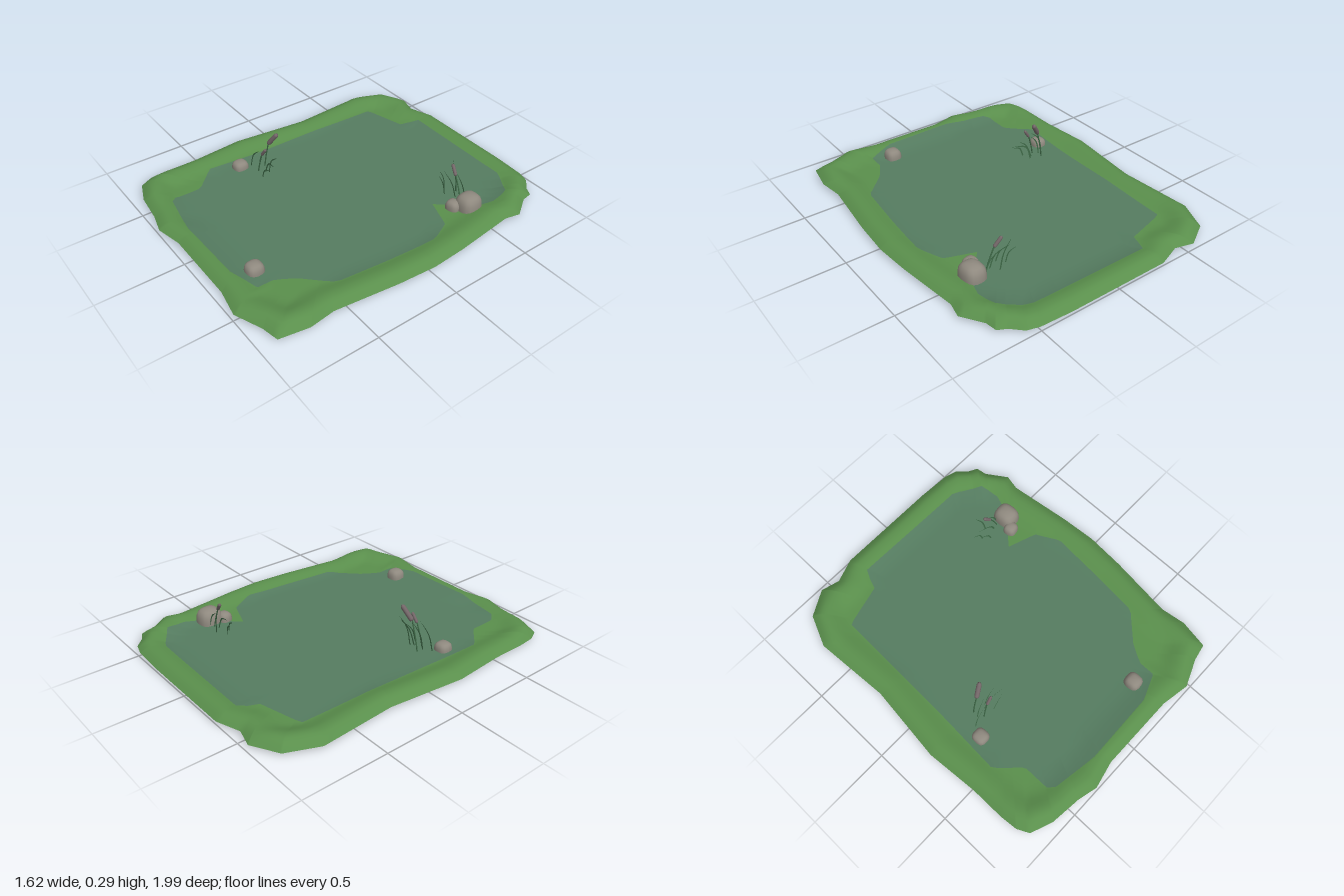
import * as THREE from 'three';

const mat = (name, color, side = THREE.DoubleSide) => {
  const m = new THREE.MeshStandardMaterial({ color, side });
  m.name = name;
  return m;
};
const grass = mat('grass green', 0x5a8f4c);
const water = mat('pond water', 0x557c60);
const stone = mat('grey stone', 0x8f897f, THREE.FrontSide);
const leaf = mat('reed green', 0x3f6a48);
const brown = mat('cattail brown', 0x75686a, THREE.FrontSide);

// Outer bank edge and waterline as [x, z] corners
const BANK = [
  [-0.56, -0.98], [-0.45, -0.95], [-0.31, -1], [0.31, -1], [0.5, -0.99], [0.57, -0.97], [0.63, -0.91],
  [0.68, -0.885], [0.69, -0.82], [0.77, -0.7], [0.75, -0.61], [0.795, -0.24], [0.81, -0.03], [0.795, 0.2],
  [0.75, 0.58], [0.77, 0.73], [0.74, 0.9], [0.64, 0.92], [0.48, 0.985], [0.31, 0.955], [-0.15, 0.955],
  [-0.31, 0.99], [-0.43, 0.96], [-0.61, 0.94], [-0.74, 0.89], [-0.775, 0.82], [-0.785, 0.715],
  [-0.785, 0.51], [-0.81, 0.2], [-0.76, -0.26], [-0.79, -0.71], [-0.71, -0.895],
];
const WATERLINE = [
  [-0.59, -0.69], [-0.32, -0.76], [-0.31, -0.87], [0.45, -0.86], [0.6, -0.76], [0.62, -0.6], [0.5, -0.45],
  [0.36, -0.38], [0.59, -0.3], [0.66, -0.16], [0.64, 0.13], [0.61, 0.45], [0.46, 0.6], [0.4, 0.7],
  [0.4, 0.8], [0.24, 0.86], [-0.2, 0.87], [-0.5, 0.82], [-0.5, 0.63], [-0.63, 0.5], [-0.61, 0.13],
];

// Distance from the centre to an outline along an angle
function reach(poly, a) {
  const c = Math.cos(a), s = Math.sin(a);
  let best = 0;
  poly.forEach(([x1, z1], i) => {
    const [x2, z2] = poly[(i + 1) % poly.length];
    const dx = x2 - x1, dz = z2 - z1, det = c * dz - s * dx;
    if (Math.abs(det) < 1e-9) return;
    const r = (x1 * dz - z1 * dx) / det;
    const u = (x1 * s - z1 * c) / det;
    if (r > 0 && u > -1e-6 && u < 1 + 1e-6) best = Math.max(best, r);
  });
  return best;
}

// Shortest distance from a point to the bank edge
function edgeDistance(x, z) {
  let best = Infinity;
  BANK.forEach(([x1, z1], i) => {
    const [x2, z2] = BANK[(i + 1) % BANK.length];
    const dx = x2 - x1, dz = z2 - z1;
    const t = THREE.MathUtils.clamp(((x - x1) * dx + (z - z1) * dz) / (dx * dx + dz * dz), 0, 1);
    best = Math.min(best, Math.hypot(x - x1 - t * dx, z - z1 - t * dz));
  });
  return best;
}

// Bank profile: rises to a crest, then dips to the pond
function height(x, z) {
  const d = edgeDistance(x, z), step = THREE.MathUtils.smoothstep;
  const corner = 0.01 * step(Math.abs(x), 0.45, 0.65) * step(Math.abs(z), 0.6, 0.8);
  const crest = 0.046 + corner;
  if (d < 0.08) return 0.012 + (crest - 0.012) * Math.sin(Math.min(1, d / 0.07) * Math.PI / 2);
  return crest + (0.021 - crest) * step(d, 0.08, 0.2);
}

// One smooth sheet: grass rings outside the waterline, water rings inside
function makeGround() {
  const angles = BANK.map(([x, z]) => Math.atan2(z, x));
  for (let i = 0; i < 128; i++) angles.push(-Math.PI + (i + 0.5) * Math.PI / 64);
  angles.sort((a, b) => a - b);
  const n = angles.length, bankRings = 12, waterRings = 14;
  const pos = [], index = [];
  for (let k = 0; k <= bankRings + waterRings; k++) {
    for (const a of angles) {
      const shore = reach(WATERLINE, a), outer = reach(BANK, a);
      const r = k <= bankRings
        ? outer + (shore - outer) * k / bankRings
        : shore * (1 - (k - bankRings) / waterRings);
      const x = r * Math.cos(a), z = r * Math.sin(a);
      pos.push(x, height(x, z), z);
    }
  }
  for (let k = 0; k < bankRings + waterRings; k++) {
    for (let i = 0; i < n; i++) {
      const a = k * n + i, b = k * n + (i + 1) % n;
      index.push(a, a + n, b, b, a + n, b + n);
    }
  }
  const g = new THREE.BufferGeometry();
  g.setAttribute('position', new THREE.Float32BufferAttribute(pos, 3));
  g.setIndex(index);
  g.addGroup(0, bankRings * n * 6, 0);
  g.addGroup(bankRings * n * 6, waterRings * n * 6, 1);
  g.computeVertexNormals();
  const mesh = new THREE.Mesh(g, [grass, water]);
  mesh.name = 'grassBankAndWater';
  return mesh;
}

// Boxy rounded boulder with a flat underside
function makeRock(x, z, w, d, top, turn) {
  const g = new THREE.SphereGeometry(1, 20, 14);
  const p = g.attributes.position, v = new THREE.Vector3();
  for (let i = 0; i < p.count; i++) {
    v.fromBufferAttribute(p, i);
    const q = Math.pow(v.x ** 4 + v.z ** 4 + v.y ** 4, 0.25);
    const k = 0.65 / q + 0.35;
    p.setXYZ(i, v.x * k * w / 2, Math.max(v.y, -0.25) * k * (top - 0.02), v.z * k * d / 2);
  }
  g.computeVertexNormals();
  g.computeBoundingBox();
  const mesh = new THREE.Mesh(g, stone);
  mesh.position.set(x, top - g.boundingBox.max.y, z);
  mesh.rotation.y = turn;
  mesh.name = 'rock';
  return mesh;
}

// Arching, tapered grass blade through three points
function makeBlade(a, b, c, width) {
  const curve = new THREE.CatmullRomCurve3([a, b, c].map(p => new THREE.Vector3(...p)));
  const pos = [], index = [], steps = 8;
  for (let i = 0; i <= steps; i++) {
    const t = i / steps, p = curve.getPoint(t), d = curve.getTangent(t);
    const w = width / 2 * (1 - t ** 2) * (0.7 + 0.6 * t);
    pos.push(p.x + d.y * w, p.y - d.x * w, p.z, p.x - d.y * w, p.y + d.x * w, p.z);
    if (i < steps) index.push(2 * i, 2 * i + 2, 2 * i + 1, 2 * i + 1, 2 * i + 2, 2 * i + 3);
  }
  const g = new THREE.BufferGeometry();
  g.setAttribute('position', new THREE.Float32BufferAttribute(pos, 3));
  g.setIndex(index);
  g.computeVertexNormals();
  const mesh = new THREE.Mesh(g, leaf);
  mesh.name = 'reedBlade';
  return mesh;
}

// Cattail: thin stalk, brown head and pointed tip
function makeCattail(base, start, end, radius) {
  const [b, s, e] = [base, start, end].map(p => new THREE.Vector3(...p));
  const group = new THREE.Group();
  group.name = 'cattail';
  const mid = b.clone().lerp(s, 0.5);
  mid.x += (b.x - s.x) * 0.08;
  const stalk = new THREE.Mesh(
    new THREE.TubeGeometry(new THREE.CatmullRomCurve3([b, mid, s]), 8, 0.004, 6), leaf);
  stalk.name = 'stalk';
  const dir = e.clone().sub(s), h = dir.length();
  const profile = [[0, 0], [0.8, 0.03], [1, 0.12], [1, 0.82], [0.75, 0.92], [0.2, 0.95], [0, 1]]
    .map(([r, y]) => new THREE.Vector2(r * radius, y * h));
  const head = new THREE.Mesh(new THREE.LatheGeometry(profile, 10), brown);
  head.name = 'cattailHead';
  head.position.copy(s);
  head.quaternion.setFromUnitVectors(new THREE.Vector3(0, 1, 0), dir.normalize());
  group.add(stalk, head);
  return group;
}

export function createModel() {
  const model = new THREE.Group();
  model.name = 'pond';
  model.add(makeGround());

  // Rocks: x, z, width, depth, top, turn
  [
    [0.553, -0.508, 0.13, 0.145, 0.108, 0.08],
    [0.511, -0.432, 0.085, 0.08, 0.072, 0.2],
    [-0.545, 0.332, 0.088, 0.092, 0.067, 0.05],
    [0.285, 0.745, 0.096, 0.1, 0.078, 0.03],
  ].forEach(r => model.add(makeRock(...r)));

  // Left reed bed
  const left = new THREE.Group();
  left.name = 'reedsBesideSmallRock';
  left.add(
    makeCattail([-0.475, 0, 0.205], [-0.43, 0.2, 0.195], [-0.37, 0.288, 0.165], 0.014),
    makeCattail([-0.45, 0.01, 0.265], [-0.41, 0.155, 0.255], [-0.37, 0.212, 0.25], 0.009),
    makeBlade([-0.525, 0.01, 0.27], [-0.495, 0.11, 0.265], [-0.43, 0.172, 0.26], 0.012),
    makeBlade([-0.48, 0.01, 0.24], [-0.455, 0.11, 0.235], [-0.395, 0.178, 0.22], 0.012),
    makeBlade([-0.42, 0.01, 0.235], [-0.37, 0.105, 0.235], [-0.275, 0.128, 0.25], 0.013),
    makeBlade([-0.4, 0.01, 0.22], [-0.365, 0.12, 0.22], [-0.305, 0.172, 0.215], 0.012),
    makeBlade([-0.385, 0.01, 0.275], [-0.355, 0.08, 0.275], [-0.3, 0.105, 0.265], 0.012),
  );

  // Right reed bed, leaning the other way
  const right = new THREE.Group();
  right.name = 'reedsBesideLargeRock';
  right.add(
    makeCattail([0.48, 0.01, -0.52], [0.425, 0.155, -0.52], [0.38, 0.212, -0.53], 0.01),
    makeBlade([0.5, 0.01, -0.54], [0.465, 0.1, -0.54], [0.4, 0.15, -0.55], 0.012),
    makeBlade([0.45, 0.01, -0.51], [0.41, 0.095, -0.51], [0.32, 0.13, -0.525], 0.012),
    makeBlade([0.41, 0.01, -0.55], [0.39, 0.12, -0.555], [0.345, 0.21, -0.565], 0.012),
    makeBlade([0.39, 0.01, -0.48], [0.365, 0.075, -0.485], [0.315, 0.105, -0.495], 0.012),
    makeBlade([0.35, 0.01, -0.515], [0.33, 0.08, -0.52], [0.285, 0.105, -0.53], 0.011),
  );
  model.add(left, right);
  return model;
}
